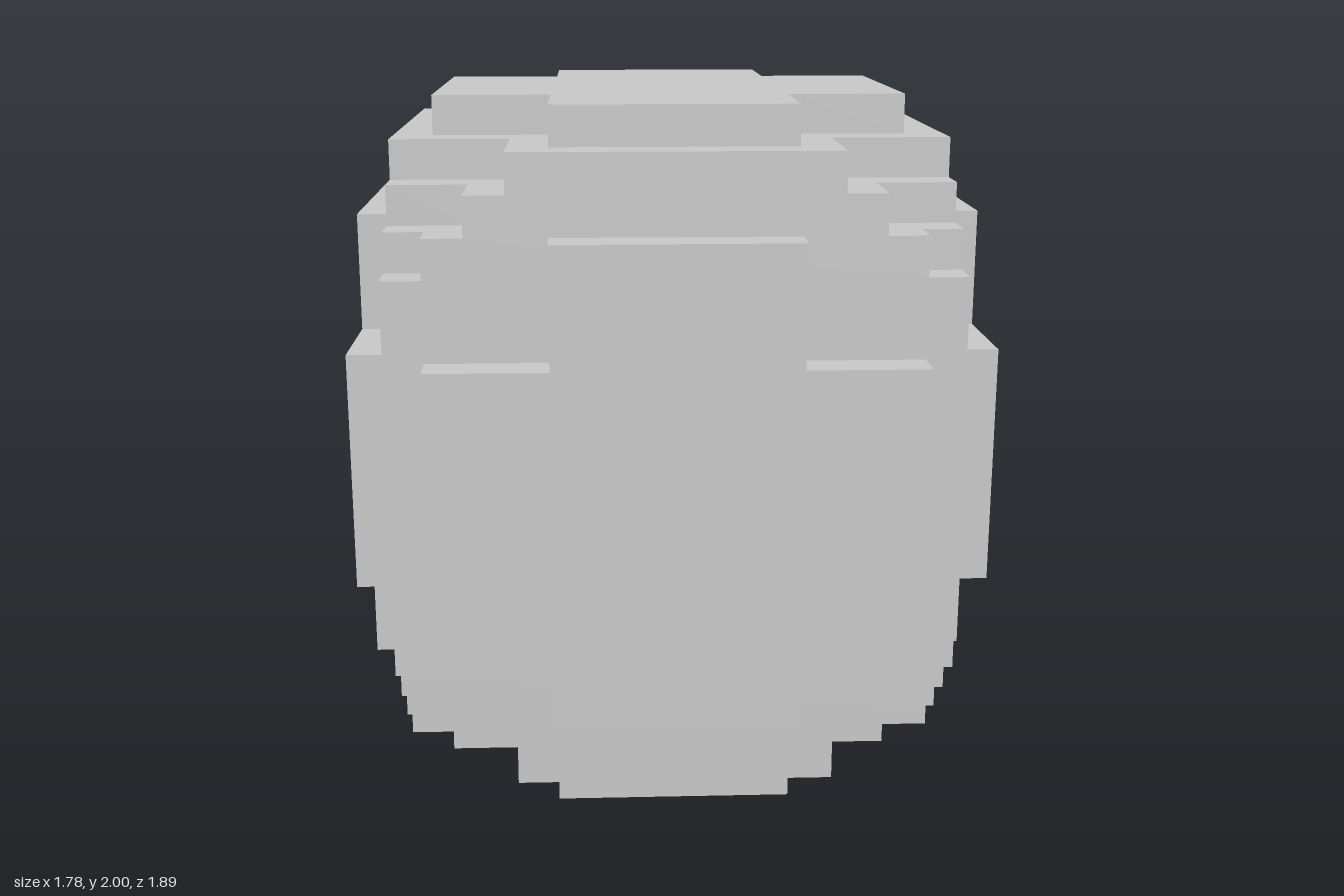
import * as THREE from 'three';

const U = 1 / 9; // one block step

// Rectangle (half sizes a, b) with a square notch of n steps cut from each corner
function plusShape(a, b, n) {
  const pts = [];
  for (const [sx, sy] of [[1, 1], [-1, 1], [-1, -1], [1, -1]]) {
    const corner = n === 0
      ? [[a, b]]
      : [[a, b - n], [a - n, b - n], [a - n, b]];
    if (sx * sy < 0) corner.reverse();
    for (const [x, y] of corner) pts.push(new THREE.Vector2(sx * x * U, sy * y * U));
  }
  return new THREE.Shape(pts);
}

export function createModel() {
  const model = new THREE.Group();
  const material = new THREE.MeshStandardMaterial({ color: 0xcccccc, flatShading: true });

  // Slab of a plus shape between two distances along an axis
  function slab(name, axis, a, b, notch, from, to) {
    const geo = new THREE.ExtrudeGeometry(plusShape(a, b, notch), {
      depth: (to - from) * U, bevelEnabled: false,
    });
    geo.translate(0, 0, from * U);
    if (axis === 'y') geo.rotateX(-Math.PI / 2);
    if (axis === 'x') geo.rotateY(Math.PI / 2);
    const mesh = new THREE.Mesh(geo, material);
    mesh.name = name;
    mesh.position.y = 1;
    model.add(mesh);
  }

  // Core, with corners stepping inwards towards the top and bottom
  slab('core', 'y', 7, 7.5, 0, -5, 5);
  for (let n = 1; n <= 3; n++) {
    slab('upperStep' + n, 'y', 7, 7.5, n, 4 + n, 5 + n);
    slab('lowerStep' + n, 'y', 7, 7.5, n, -5 - n, -4 - n);
  }

  // Raised cross plates on all six faces
  slab('topPlate', 'y', 6, 6.5, 3, 8, 9);
  slab('bottomPlate', 'y', 6, 6.5, 3, -9, -8);
  slab('frontPlate', 'z', 6, 6, 3, 7.5, 8.5);
  slab('backPlate', 'z', 6, 6, 3, -8.5, -7.5);
  slab('leftPlate', 'x', 6.5, 6, 3, 7, 8);
  slab('rightPlate', 'x', 6.5, 6, 3, -8, -7);

  return model;
}
